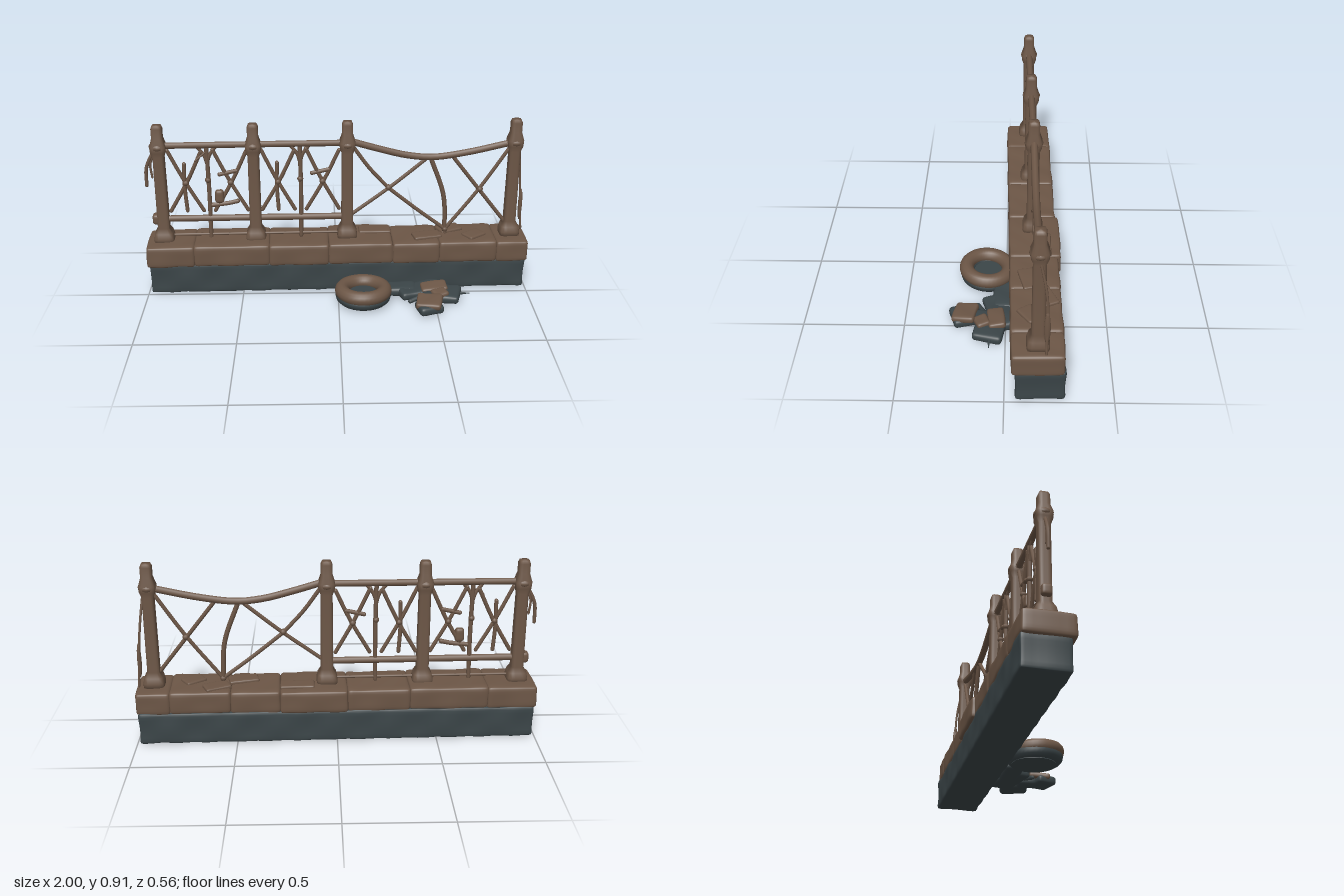
import * as THREE from 'three';
import { mergeVertices } from 'three/addons/utils/BufferGeometryUtils.js';

const mat = (name, color) => new THREE.MeshStandardMaterial({ name, color });

export function createModel() {
  const model = new THREE.Group();
  model.name = 'ruinedRailingWall';
  const wornBrown = mat('wornBrown', 0x6c5646);
  const darkSlate = mat('darkSlate', 0x3b4548);

  const add = (parent, name, geometry, material, x = 0, y = 0, z = 0) => {
    const mesh = new THREE.Mesh(geometry, material);
    mesh.name = name;
    mesh.position.set(x, y, z);
    parent.add(mesh);
    return mesh;
  };

  // Merge seams so that normals come out smooth
  const smooth = (geo) => {
    geo.deleteAttribute('uv');
    geo.deleteAttribute('normal');
    const merged = mergeVertices(geo, 1e-5);
    merged.computeVertexNormals();
    return merged;
  };

  // Rounded, gently uneven block
  const stone = (w, h, d, r, bump, seed, nx = 14) => {
    const geo = new THREE.BoxGeometry(2, 2, 2, nx, 10, 10);
    const p = geo.attributes.position;
    const half = new THREE.Vector3(w / 2, h / 2, d / 2);
    const inner = half.clone().subScalar(r);
    const v = new THREE.Vector3(), core = new THREE.Vector3();
    for (let i = 0; i < p.count; i++) {
      v.fromBufferAttribute(p, i);
      v.set(...v.toArray().map((t) => Math.sin(t * Math.PI / 2))).multiply(half);
      core.copy(v).clamp(inner.clone().negate(), inner);
      v.sub(core);
      const n = Math.sin(core.x * 23 + seed) * Math.sin(core.y * 31 + seed * 2) +
        Math.sin(core.x * 41 + core.z * 29 + seed * 3) * 0.6;
      v.setLength(r + bump * n).add(core);
      p.setXYZ(i, v.x, v.y, v.z);
    }
    return smooth(geo);
  };

  // Round bar through a few points, with rounded ends
  const bar = (parent, name, pts, r, material = wornBrown) => {
    const path = pts.map(([x, y, z = 0]) => new THREE.Vector3(x, y, z));
    const group = new THREE.Group();
    group.name = name;
    add(group, name + 'Rod', new THREE.TubeGeometry(new THREE.CatmullRomCurve3(path), 24, r, 8), material);
    for (const end of [path[0], path[path.length - 1]])
      add(group, name + 'End', new THREE.SphereGeometry(r, 8, 6), material, end.x, end.y, end.z);
    parent.add(group);
  };

  // The wall runs slightly askew
  const wall = new THREE.Group();
  wall.name = 'wall';
  wall.rotation.y = 0.021;
  wall.position.z = -0.131;
  model.add(wall);

  // Foundation
  add(wall, 'foundation', stone(1.976, 0.165, 0.226, 0.014, 0.003, 1, 60), darkSlate, 0, 0.0825, -0.012);

  // Coping stones
  const joints = [-0.997, -0.75, -0.36, -0.05, 0.285, 0.53, 0.83, 0.997];
  for (let i = 0; i < joints.length - 1; i++) {
    const w = joints[i + 1] - joints[i];
    const wide = i === 3 ? 0.016 : 0;
    add(wall, 'copingStone', stone(w + 0.006, 0.118, 0.244 + wide, 0.019, 0.002, i * 1.7, 20),
      wornBrown, joints[i] + w / 2, 0.214 + (i % 2) * 0.003, -wide / 2);
  }
  add(wall, 'copingCore', new THREE.BoxGeometry(1.95, 0.09, 0.225), wornBrown, 0, 0.212, 0);

  // Flat scraps lying on the coping
  [0.2, 0.47, 0.6, 0.72].forEach((x, i) => {
    const scrap = add(wall, 'copingScrap', stone(0.17 - i * 0.02, 0.024, 0.08, 0.009, 0.001, i + 4),
      wornBrown, x, 0.276, i % 2 ? 0.03 : -0.05);
    scrap.rotation.y = i * 0.2;
  });

  // Square posts with flared foot and rounded collar
  const profile = [[0, 0.26], [0.052, 0.26], [0.052, 0.29], [0.046, 0.318], [0.031, 0.345], [0.029, 0.735],
    [0.039, 0.765], [0.041, 0.795], [0.028, 0.838], [0.028, 0.888], [0.022, 0.903], [0, 0.905]];
  const post = new THREE.LatheGeometry(profile.map(([x, y]) => new THREE.Vector2(x, y)), 24);
  const pp = post.attributes.position;
  for (let i = 0; i < pp.count; i++) {
    const x = pp.getX(i), z = pp.getZ(i), r = Math.hypot(x, z);
    if (r < 1e-6) continue;
    const k = r / Math.pow(x ** 6 + z ** 6, 1 / 6);
    pp.setXYZ(i, x * k, pp.getY(i), z * k);
  }
  const postGeo = smooth(post);
  [-0.91, -0.43, 0.05, 0.912].forEach((x, i) => {
    add(wall, 'post', postGeo, wornBrown, x, i > 1 ? 0.003 : -0.004, 0);
    add(wall, 'postCollar', new THREE.SphereGeometry(0.046, 16, 10), wornBrown, x, 0.787, 0).scale.y = 0.62;
  });

  // Rails
  bar(wall, 'topRail', [[-0.92, 0.79], [0.05, 0.792]], 0.017);
  bar(wall, 'lowerRail', [[-0.94, 0.387], [0.05, 0.385]], 0.018);
  add(wall, 'railStub', stone(0.05, 0.056, 0.05, 0.015, 0, 0), wornBrown, -0.94, 0.388);
  bar(wall, 'saggingRail', [[0.05, 0.805], [0.22, 0.755], [0.36, 0.72], [0.49, 0.708], [0.66, 0.73], [0.91, 0.785]], 0.018);

  // Slender rod from one point to another, bowed sideways at its middle
  const rod = (x0, y0, x1, y1, bow, r = 0.01) =>
    bar(wall, 'latticeRod', [[x0, y0], [(x0 + x1) / 2 + bow, (y0 + y1) / 2], [x1, y1]], r);
  const knot = (x, y) => add(wall, 'latticeKnot', new THREE.SphereGeometry(0.016, 10, 8), wornBrown, x, y);

  // Intact bays: an upright with braces, and a bent cross on either side
  for (const c of [-0.667, -0.193]) {
    rod(c, 0.785, c, 0.28, 0.003, 0.011);
    bar(wall, 'footWire', [[c - 0.19, 0.294], [c + 0.19, 0.294]], 0.007);
    knot(c, 0.6);
    for (const s of [-1, 1]) {
      const x = c + s * 0.115;
      rod(c + s * 0.05, 0.785, c, 0.69, -s * 0.01, 0.009);
      rod(x - 0.085, 0.765, x + 0.085, 0.43, -0.006);
      rod(x + 0.085, 0.755, x - 0.085, 0.43, 0.008);
      knot(x, 0.585);
    }
    rod(c - 0.118, 0.69, c - 0.115, 0.43, -0.005);
    rod(c + 0.06, 0.63, c + 0.15, 0.65, 0, 0.011);
  }
  rod(-0.65, 0.46, -0.52, 0.48, 0.02, 0.012);
  add(wall, 'hangingLump', stone(0.05, 0.075, 0.04, 0.018, 0.002, 2), wornBrown, -0.612, 0.512, 0.005);
  bar(wall, 'snappedTwig', [[-0.67, 0.755], [-0.725, 0.715, 0.025]], 0.005);

  // Sagging bay: two wide bent crosses meeting at the foot
  rod(0.08, 0.77, 0.265, 0.54, -0.01);
  rod(0.265, 0.54, 0.57, 0.3, -0.005);
  rod(0.47, 0.71, 0.08, 0.4, 0.01);
  rod(0.48, 0.705, 0.57, 0.28, 0.03, 0.012);
  rod(0.59, 0.715, 0.9, 0.32, 0);
  rod(0.89, 0.76, 0.57, 0.3, 0.012);
  knot(0.265, 0.543);
  knot(0.745, 0.525);
  knot(0.57, 0.3);

  // Torn ends hanging outside the end posts
  rod(-0.93, 0.77, -0.982, 0.575, -0.02, 0.009);
  rod(-0.93, 0.76, -0.95, 0.62, -0.015, 0.006);
  bar(wall, 'tornRod', [[0.935, 0.77], [0.96, 0.58, -0.033], [0.985, 0.28, -0.035]], 0.006);
  add(wall, 'tornRodLeaf', new THREE.SphereGeometry(1, 10, 10), wornBrown, 0.973, 0.42, -0.036)
    .scale.set(0.011, 0.09, 0.015);

  // Ring lying on a low mound
  const ring = add(model, 'fallenRing', new THREE.TorusGeometry(0.11, 0.037, 14, 40), wornBrown, 0.128, 0.067, 0.098);
  ring.rotation.x = Math.PI / 2 - 0.06;
  const under = add(model, 'ringUnderside', new THREE.TorusGeometry(0.108, 0.036, 12, 40), darkSlate, 0.128, 0.04, 0.094);
  under.rotation.x = Math.PI / 2 - 0.02;
  add(model, 'ringMound', new THREE.CylinderGeometry(0.1, 0.115, 0.05, 28), darkSlate, 0.128, 0.027, 0.09);

  // Low dark rubble: x, z, width, depth
  [[0.31, 0.015, 0.2, 0.1], [0.43, 0.03, 0.24, 0.13], [0.57, 0.08, 0.13, 0.15],
    [0.47, 0.13, 0.08, 0.1], [0.46, 0.215, 0.13, 0.11]].forEach(([x, z, w, d], i) => {
    add(model, 'darkRubble', stone(w, 0.048, d, 0.02, 0.003, i * 2.3), darkSlate, x, 0.027, z)
      .rotation.y = Math.sin(i * 2) * 0.3;
  });

  // Brown stones resting on the rubble: x, z, width, depth
  [[0.46, 0.2, 0.13, 0.115], [0.5, 0.045, 0.14, 0.085], [0.525, 0.115, 0.08, 0.07]].forEach(([x, z, w, d], i) => {
    add(model, 'brownRubble', stone(w, 0.036, d, 0.015, 0.003, i * 2.9), wornBrown, x, 0.05, z)
      .rotation.set(0.12, -0.2 + i * 0.3, 0.05);
  });
  add(model, 'rubbleSpike', new THREE.ConeGeometry(0.014, 0.1, 8), darkSlate, 0.645, 0.03, 0.078)
    .rotation.z = -Math.PI / 2;
  bar(model, 'rubbleRod', [[0.37, 0.02, 0.14], [0.45, 0.035, 0.1]], 0.012, darkSlate);
  return model;
}
